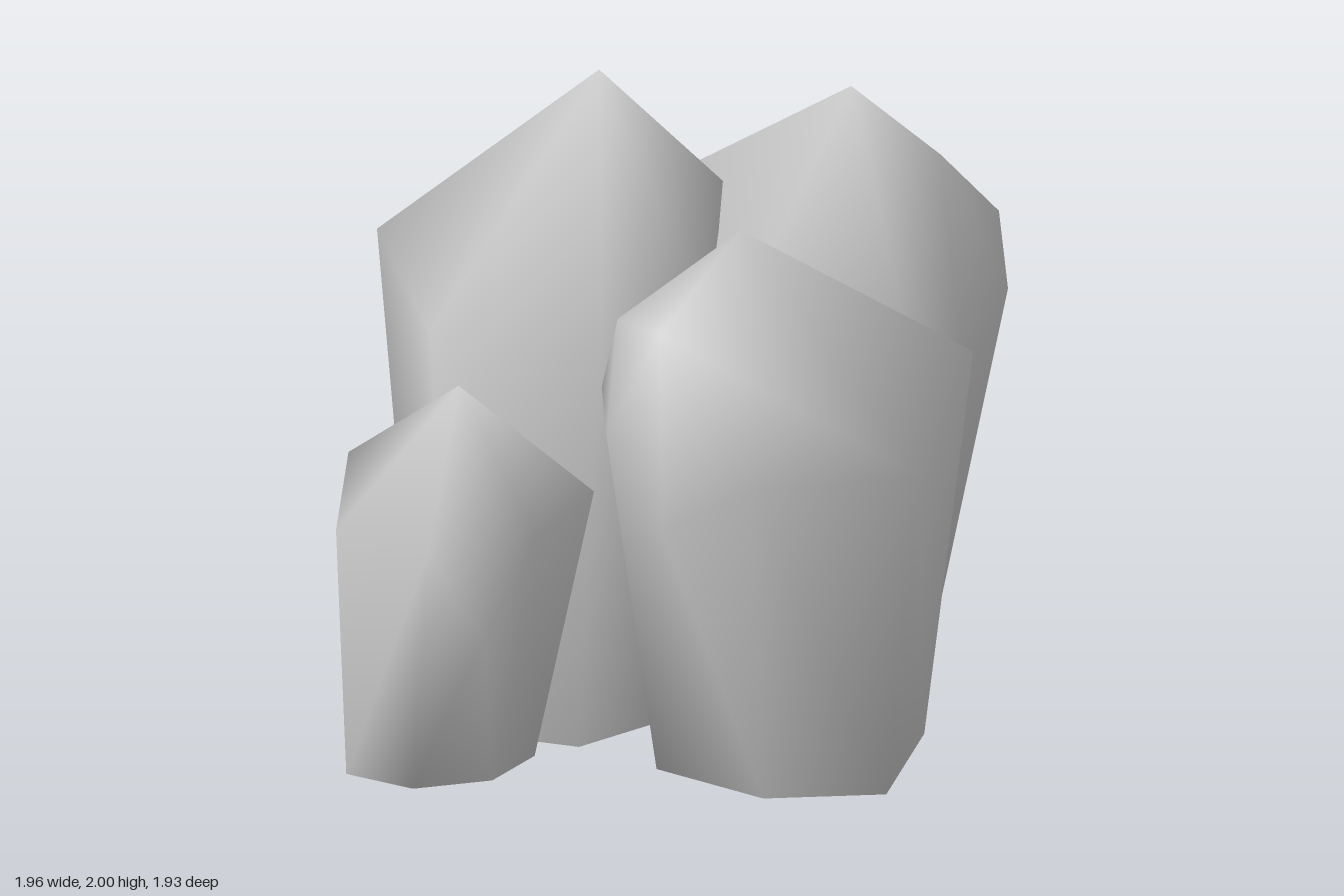
import * as THREE from 'three';
import { ConvexGeometry } from 'three/addons/geometries/ConvexGeometry.js';
import { mergeVertices } from 'three/addons/utils/BufferGeometryUtils.js';

const FOOT_SCALE = 0.73;

// A closed convex crystal with smooth normals. The x, z outline is lifted onto a tilted
// shoulder plane and repeated smaller at the foot; bevels are extra chipped corners.
function crystal(name, { tip, outline, plane: [height, slopeX, slopeZ], foot, bevels }) {
  const shoulder = outline.map(([x, z]) => [x, height + slopeX * x + slopeZ * z, z]);
  const base = outline.map(([x, z]) => [x * FOOT_SCALE + foot[0], 0, z * FOOT_SCALE + foot[1]]);
  const points = [tip, ...shoulder, ...bevels, ...base].map((p) => new THREE.Vector3(...p));
  let geometry = new ConvexGeometry(points);
  geometry.deleteAttribute('normal');
  geometry = mergeVertices(geometry, 1e-4);
  geometry.computeVertexNormals();
  const mesh = new THREE.Mesh(geometry, new THREE.MeshStandardMaterial({ color: 0xcccccc }));
  mesh.name = name;
  return mesh;
}

export function createModel() {
  const group = new THREE.Group();
  group.name = 'crystalCluster';

  // Two tall crystals
  group.add(crystal('tallLeftCrystal', {
    tip: [-0.28, 2, -0.25],
    outline: [[-0.98, -0.25], [-0.6, -0.6], [-0.1, -0.6], [0.15, 0.12], [-0.13, 0.47], [-0.68, 0.4]],
    plane: [1.39, 0, -0.1],
    foot: [-0.12, 0.04],
    bevels: [[-0.25, 1.25, -0.67], [0.1, 1.64, -0.3]],
  }));
  group.add(crystal('tallBackCrystal', {
    tip: [0.51, 2, -0.27],
    outline: [[0.14, -0.94], [0.85, -0.89], [0.98, -0.39], [0.75, 0.05], [0.25, 0.26], [-0.17, -0.53]],
    plane: [1.46, -0.17, -0.06],
    foot: [0, -0.11],
    bevels: [[0.91, 1.1, -0.08], [0.78, 1.77, -0.33]],
  }));

  // Broad crystal at the front
  group.add(crystal('frontCrystal', {
    tip: [0.32, 1.81, 0.51],
    outline: [[0.97, 0.1], [0.95, 0.81], [0.45, 0.96], [-0.06, 0.72], [-0.13, 0.45], [0.25, -0.06], [0.77, -0.03]],
    plane: [1.32, 0, -0.2],
    foot: [0.1, -0.01],
    bevels: [[0.15, 0.95, 0.9], [0.12, 1.55, 0.77], [-0.08, 1.46, 0.45], [0.3, 1.54, -0.02]],
  }));

  // Two small crystals
  group.add(crystal('smallFrontCrystal', {
    tip: [-0.55, 1.26, 0.6],
    outline: [[-0.95, 0.34], [-0.89, 0.83], [-0.58, 0.94], [-0.27, 0.78], [-0.15, 0.47], [-0.45, 0.2]],
    plane: [0.95, 0, -0.13],
    foot: [-0.225, 0.14],
    bevels: [[-0.41, 0.55, 0.91]],
  }));
  group.add(crystal('smallBackCrystal', {
    tip: [-0.62, 1.25, -0.65],
    outline: [[-0.95, -0.86], [-0.64, -0.97], [-0.32, -0.82], [-0.24, -0.6], [-0.5, -0.3], [-0.95, -0.41]],
    plane: [0.98, 0.1, 0.08],
    foot: [-0.155, -0.13],
    bevels: [[-0.45, 0.8, -0.94]],
  }));
  return group;
}
